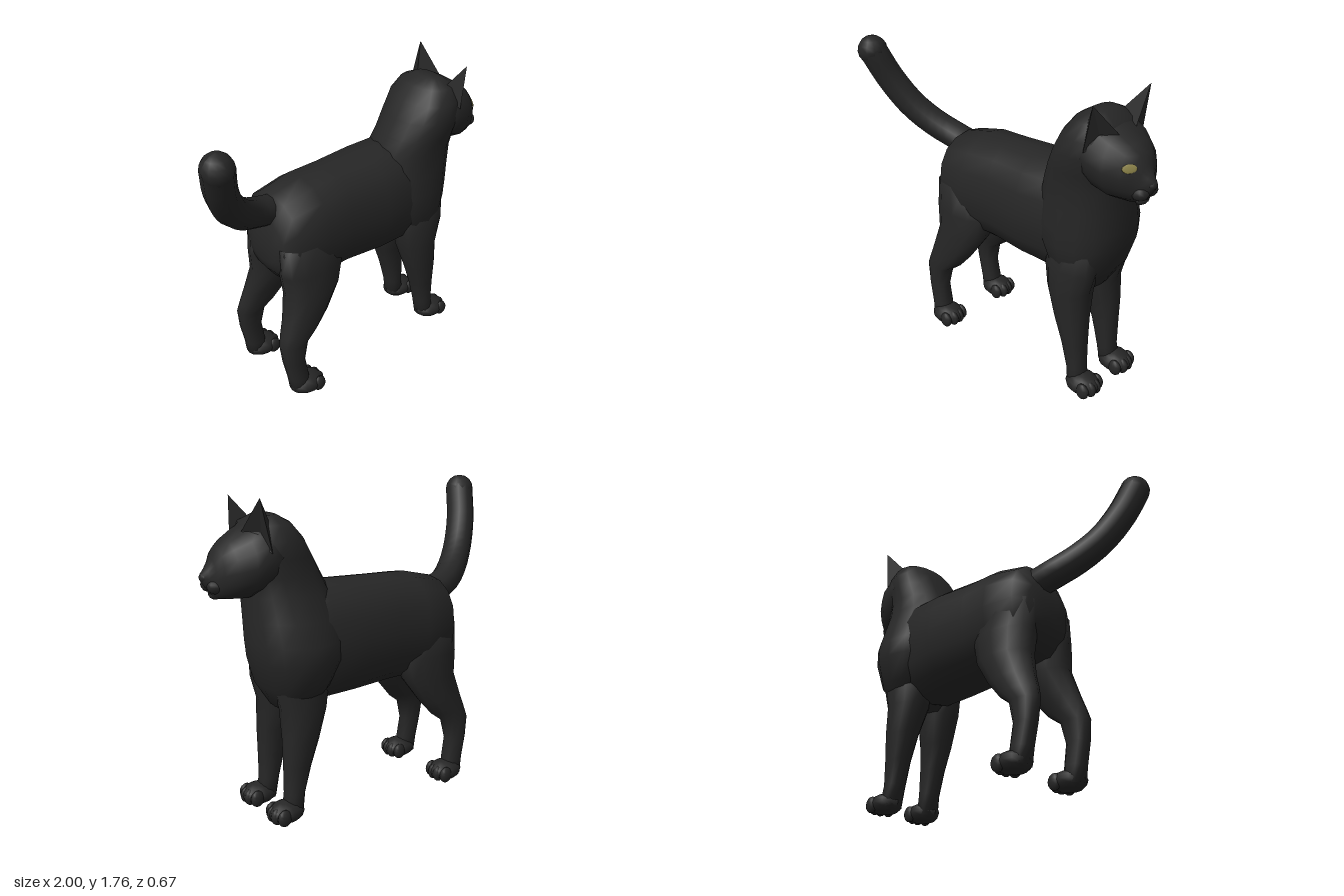
import * as THREE from 'three';

const fur = new THREE.MeshStandardMaterial({ color: 0x262626, side: THREE.DoubleSide });
fur.name = 'black fur';
const iris = new THREE.MeshStandardMaterial({ color: 0x8a8148 });
iris.name = 'olive eye';

// Skin over rounded sections. Each row: position along the axis, then the
// low/high limits across (y or x) and the low/high limits in z.
function loft(axis, rows, power = 2.3, sides = 16) {
  const pos = [], index = [], n = rows.length;
  const put = (t, a, z) => (axis === 'x' ? pos.push(t, a, z) : pos.push(a, t, z));
  const bend = (v) => Math.sign(v) * Math.abs(v) ** (2 / power);
  const tri = (a, b, c) => (axis === 'x' ? index.push(a, b, c) : index.push(a, c, b));
  for (const [t, a0, a1, z0, z1] of rows) {
    for (let j = 0; j < sides; j++) {
      const q = (j / sides) * Math.PI * 2;
      put(t, (a0 + a1) / 2 + ((a1 - a0) / 2) * bend(Math.cos(q)),
        (z0 + z1) / 2 + ((z1 - z0) / 2) * bend(Math.sin(q)));
    }
  }
  for (const [t, a0, a1, z0, z1] of [rows[0], rows[n - 1]]) put(t, (a0 + a1) / 2, (z0 + z1) / 2);
  for (let j = 0; j < sides; j++) {
    const k = (j + 1) % sides;
    for (let i = 0; i < n - 1; i++) {
      const p = i * sides, q = p + sides;
      tri(p + j, p + k, q + j);
      tri(p + k, q + k, q + j);
    }
    const last = (n - 1) * sides;
    tri(n * sides, k, j);
    tri(n * sides + 1, last + j, last + k);
  }
  const g = new THREE.BufferGeometry();
  g.setAttribute('position', new THREE.Float32BufferAttribute(pos, 3));
  g.setIndex(index);
  g.computeVertexNormals();
  return g;
}

const mirrorRows = (rows, zc) => rows.map(([t, a, b, z0, z1]) => [t, a, b, 2 * zc - z1, 2 * zc - z0]);

export function createModel() {
  const cat = new THREE.Group();
  cat.name = 'cat';
  const add = (name, geometry, material = fur, parent = cat) => {
    const m = new THREE.Mesh(geometry, material);
    m.name = name;
    parent.add(m);
    return m;
  };
  const blob = (name, x, y, z, rx, ry, rz, parent = cat) => {
    const g = new THREE.SphereGeometry(1, 12, 8).scale(rx, ry, rz).translate(x, y, z);
    const p = g.attributes.position;
    for (let i = 0; i < p.count; i++) p.setY(i, Math.max(0.005, p.getY(i)));
    g.computeVertexNormals();
    return add(name, g, fur, parent);
  };

  // Trunk from rump to chest
  add('trunk', loft('x', [
    [-0.5, 0.84, 1.0, -0.13, 0.07],
    [-0.48, 0.78, 1.1, -0.21, 0.14],
    [-0.42, 0.7, 1.225, -0.28, 0.2],
    [-0.23, 0.66, 1.27, -0.295, 0.225],
    [-0.04, 0.655, 1.28, -0.275, 0.205],
    [0.2, 0.645, 1.29, -0.295, 0.23],
    [0.4, 0.635, 1.3, -0.27, 0.215],
    [0.55, 0.68, 1.28, -0.25, 0.21],
    [0.68, 0.78, 1.2, -0.18, 0.15],
  ]));

  // Chest rising into the neck and the back of the skull
  add('chestAndNeck', loft('y', [
    [0.62, 0.44, 0.64, -0.15, 0.12],
    [0.75, 0.36, 0.72, -0.27, 0.22],
    [0.9, 0.27, 0.765, -0.31, 0.24],
    [1.0, 0.26, 0.775, -0.305, 0.24],
    [1.12, 0.28, 0.775, -0.26, 0.235],
    [1.25, 0.31, 0.775, -0.21, 0.232],
    [1.35, 0.355, 0.78, -0.187, 0.25],
    [1.45, 0.405, 0.8, -0.185, 0.265],
    [1.54, 0.455, 0.8, -0.178, 0.255],
    [1.62, 0.52, 0.76, -0.13, 0.21],
    [1.662, 0.59, 0.68, -0.04, 0.13],
  ]));

  // Face narrowing to the nose
  const head = new THREE.Group();
  head.name = 'head';
  cat.add(head);
  add('face', loft('x', [
    [0.6, 1.3, 1.65, -0.17, 0.24],
    [0.7, 1.265, 1.645, -0.18, 0.26],
    [0.79, 1.237, 1.6, -0.16, 0.245],
    [0.87, 1.24, 1.55, -0.1, 0.205],
    [0.915, 1.245, 1.51, -0.045, 0.165],
    [0.94, 1.255, 1.455, 0.0, 0.14],
    [0.965, 1.3, 1.415, 0.035, 0.118],
    [0.99, 1.335, 1.385, 0.055, 0.1],
  ], 2.1), fur, head);
  for (const s of [-1, 1]) blob('muzzlePad', 0.93, 1.315, 0.075 + s * 0.035, 0.048, 0.04, 0.046, head);
  blob('chin', 0.92, 1.268, 0.075, 0.032, 0.028, 0.045, head);
  blob('nose', 0.978, 1.36, 0.078, 0.022, 0.025, 0.03, head);

  // Hollow ears: tip, inner base, outer base, back base, hollow
  const ear = (name, tip, inner, outer, back, hollow, flip) => {
    const g = new THREE.BufferGeometry();
    g.setAttribute('position', new THREE.Float32BufferAttribute([tip, inner, outer, back, hollow].flat(), 3));
    const f = [0, 3, 1, 0, 2, 3, 0, 1, 4, 0, 4, 2, 1, 2, 4];
    g.setIndex(flip ? f.reverse() : f);
    const flat = g.toNonIndexed();
    flat.computeVertexNormals();
    add(name, flat, fur, head);
  };
  ear('leftEar', [0.73, 1.745, 0.25], [0.8, 1.58, 0.12], [0.69, 1.5, 0.262], [0.63, 1.6, 0.16], [0.73, 1.58, 0.19], false);
  ear('rightEar', [0.77, 1.767, -0.155], [0.8, 1.59, -0.01], [0.72, 1.49, -0.18], [0.66, 1.62, -0.06], [0.74, 1.59, -0.1], true);

  // Eyes: thin almond plates on the face
  for (const s of [-1, 1]) {
    const g = new THREE.SphereGeometry(1, 14, 8).scale(0.04, 0.023, 0.0045);
    const eye = add(s > 0 ? 'leftEye' : 'rightEye', g, iris, head);
    eye.position.set(0.899, 1.45, 0.075 + s * 0.091);
    eye.lookAt(0.899 + 0.8, 1.45 + 0.3, 0.075 + s * (0.091 + 0.6));
  }

  // Legs, with paws of a flat pad and four toes
  const frontRows = [
    [0.03, 0.57, 0.68, 0.08, 0.21],
    [0.15, 0.55, 0.66, 0.075, 0.2],
    [0.3, 0.508, 0.66, 0.068, 0.21],
    [0.45, 0.457, 0.66, 0.05, 0.228],
    [0.62, 0.4, 0.66, 0.01, 0.237],
    [0.76, 0.38, 0.7, 0.02, 0.235],
    [0.95, 0.42, 0.7, 0.05, 0.21],
  ];
  const hindRows = [
    [0.03, -0.5, -0.39, 0.13, 0.25],
    [0.12, -0.515, -0.39, 0.13, 0.245],
    [0.25, -0.545, -0.41, 0.13, 0.24],
    [0.37, -0.56, -0.38, 0.12, 0.24],
    [0.43, -0.545, -0.3, 0.1, 0.24],
    [0.52, -0.515, -0.22, 0.075, 0.24],
    [0.66, -0.475, -0.125, 0.02, 0.24],
    [0.8, -0.49, -0.09, 0.0, 0.235],
    [0.97, -0.49, -0.15, 0.0, 0.215],
  ];
  const leg = (name, rows, pawX, pawZ) => {
    const g = new THREE.Group();
    g.name = name;
    cat.add(g);
    add('limb', loft('y', rows, 2.2, 12), fur, g);
    blob('paw', pawX, 0.055, pawZ, 0.105, 0.062, 0.088, g);
    for (let i = 0; i < 4; i++) {
      const u = i - 1.5;
      blob('toe', pawX + 0.075 - Math.abs(u) * 0.018, 0.05, pawZ + u * 0.043, 0.042, 0.048, 0.026, g);
    }
  };
  leg('leftFrontLeg', frontRows, 0.665, 0.15);
  leg('rightFrontLeg', mirrorRows(frontRows, 0), 0.665, -0.145);
  leg('leftHindLeg', hindRows, -0.4, 0.195);
  leg('rightHindLeg', mirrorRows(hindRows, -0.03), -0.4, -0.25);

  // Raised tail curving to the left
  const path = new THREE.CatmullRomCurve3([
    [-0.38, 1.12, -0.06], [-0.53, 1.16, -0.04], [-0.65, 1.225, 0.015],
    [-0.765, 1.335, 0.09], [-0.86, 1.5, 0.17], [-0.914, 1.675, 0.245],
  ].map((p) => new THREE.Vector3(...p)));
  add('tail', new THREE.TubeGeometry(path, 14, 0.086, 10, false));
  blob('tailTip', -0.914, 1.675, 0.245, 0.086, 0.086, 0.088);

  return cat;
}
